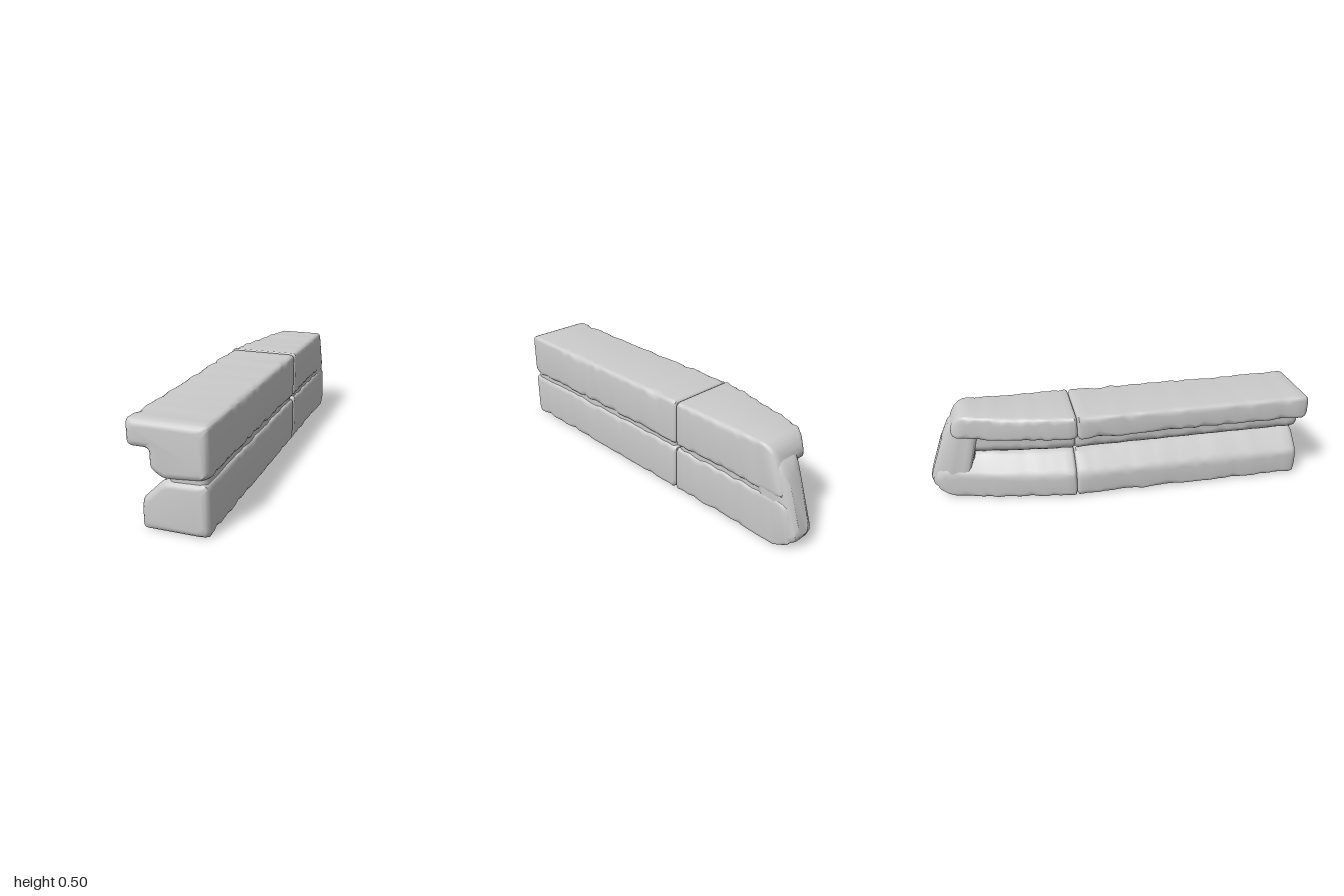
import * as THREE from 'three';
import { mergeVertices, toCreasedNormals } from 'three/addons/utils/BufferGeometryUtils.js';

const material = new THREE.MeshStandardMaterial({ color: 0xcccccc });

// small seeded generator for chipped edges
let seed = 7;
const rand = () => {
  seed = (seed * 16807) % 2147483647;
  return seed / 2147483647;
};

// straight-line interpolation through [key, value] pairs with rising keys
function lerpTable(table, k) {
  if (k <= table[0][0]) return table[0][1];
  for (let i = 1; i < table.length; i++) {
    const [k0, v0] = table[i - 1], [k1, v1] = table[i];
    if (k <= k1) return v0 + (v1 - v0) * (k - k0) / (k1 - k0);
  }
  return table[table.length - 1][1];
}

// moves every edge of a counter-clockwise outline inwards by d
function inset(points, d) {
  const n = points.length;
  return points.map((p, i) => {
    const e0 = p.clone().sub(points[(i + n - 1) % n]).normalize();
    const e1 = points[(i + 1) % n].clone().sub(p).normalize();
    const m = new THREE.Vector2(-e0.y - e1.y, e0.x + e1.x);
    return p.clone().addScaledVector(m, d / (1 + e0.dot(e1)));
  });
}

// rounds each corner with its own slightly random radius
function roundCorners(points, radius, chip) {
  const n = points.length, out = [];
  points.forEach((p, i) => {
    const a = points[(i + n - 1) % n], b = points[(i + 1) % n];
    const c = radius + chip * rand() ** 2;
    const start = p.clone().lerp(a, Math.min(0.45, c / p.distanceTo(a)));
    const end = p.clone().lerp(b, Math.min(0.45, c / p.distanceTo(b)));
    out.push(...new THREE.QuadraticBezierCurve(start, p, end).getPoints(4));
  });
  return out;
}

// worn stone: an outline swept from zFront to zBack with rounded ends
function stone(name, outline, zFront, zBack, { radius = 0.02, chip = 0.025, front = 0.03, back = 0.02, warp } = {}) {
  const profile = outline.map(([x, y]) => new THREE.Vector2(x, y));
  const length = zFront - zBack;
  const steps = Math.ceil(length / 0.045);
  const stations = [[0, 1], [0.12, 0.5], [0.45, 0.17], [1, 0]].map(([t, d]) => [zFront - t * front, d * front]);
  for (let i = 1; i < steps; i++) {
    const z = zFront - front - (length - front - back) * i / steps;
    stations.push([z, rand() * 0.003]);
  }
  for (const [t, d] of [[1, 0], [0.45, 0.17], [0.12, 0.5], [0, 1]]) stations.push([zBack + t * back, d * back]);

  const rings = stations.map(([, d]) => roundCorners(inset(profile, d), radius, chip));
  const n = rings[0].length, last = rings.length - 1;
  const position = [], index = [];
  rings.forEach((ring, i) => ring.forEach((p) => {
    const v = new THREE.Vector3(p.x, p.y, stations[i][0]);
    if (warp) warp(v);
    position.push(v.x, v.y, v.z);
  }));
  for (let i = 0; i < last; i++) {
    for (let j = 0; j < n; j++) {
      const a = i * n + j, b = i * n + (j + 1) % n;
      index.push(a, a + n, b, b, a + n, b + n);
    }
  }
  for (const [a, b, c] of THREE.ShapeUtils.triangulateShape(rings[0], [])) index.push(a, b, c);
  for (const [a, b, c] of THREE.ShapeUtils.triangulateShape(rings[last], [])) {
    index.push(last * n + a, last * n + c, last * n + b);
  }
  const geometry = new THREE.BufferGeometry();
  geometry.setAttribute('position', new THREE.Float32BufferAttribute(position, 3));
  geometry.setIndex(index);
  const mesh = new THREE.Mesh(toCreasedNormals(mergeVertices(geometry), 0.7), material);
  mesh.name = name;
  return mesh;
}

// the rear narrows towards the flat side and its end face leans
const JOINT = -0.24;
const width = [[-1, 0.5], [-0.87, 0.58], [-0.8, 0.66], [-0.6, 0.83], [-0.4, 0.94], [-0.25, 1]];
const endZ = [[0, -0.94], [0.04, -0.985], [0.09, -1], [0.25, -0.955], [0.36, -0.905], [0.44, -0.88], [0.5, -0.85]];
const rearWarp = (pullBack) => (v) => {
  const t = (JOINT - v.z) / (JOINT + 1);
  v.z = JOINT + (lerpTable(endZ, v.y) + pullBack - JOINT) * t;
  v.x = 0.185 - (0.185 - v.x) * lerpTable(width, v.z);
};

export function createModel() {
  const model = new THREE.Group();
  model.name = 'stoneMoulding';

  // outlines seen from the front, counter-clockwise
  const ledge = [[0.185, 0.262], [0.185, 0.5], [-0.187, 0.5], [-0.187, 0.374], [-0.083, 0.374], [-0.083, 0.285], [-0.02, 0.245]];
  const plinth = [[0.185, 0.002], [0.185, 0.25], [-0.02, 0.242], [-0.125, 0.138], [-0.125, 0.002]];
  const core = [[0.172, 0.2], [0.172, 0.3], [0, 0.3], [0, 0.2]];

  // long front stones
  model.add(stone('upperFrontStone', ledge, 1, JOINT));
  model.add(stone('lowerFrontStone', plinth, 1, JOINT));
  model.add(stone('frontMortar', core, 0.985, JOINT + 0.012, { radius: 0.01, chip: 0 }));

  // tapered rear stones
  const rear = { front: 0.02, back: 0.05, warp: rearWarp(0.02) };
  model.add(stone('upperRearStone', ledge, JOINT, -1, rear));
  model.add(stone('lowerRearStone', plinth, JOINT, -1, rear));
  model.add(stone('rearMortar', core, JOINT - 0.012, -0.96, { radius: 0.01, chip: 0, warp: rearWarp(0.02) }));

  // rounded nose joining both rear stones
  const nose = [[0.181, 0.01], [0.181, 0.45], [-0.1, 0.45], [-0.12, 0.01]];
  model.add(stone('rearNose', nose, -0.8, -1, { radius: 0.05, chip: 0.01, front: 0.05, back: 0.08, warp: rearWarp(0) }));
  return model;
}
